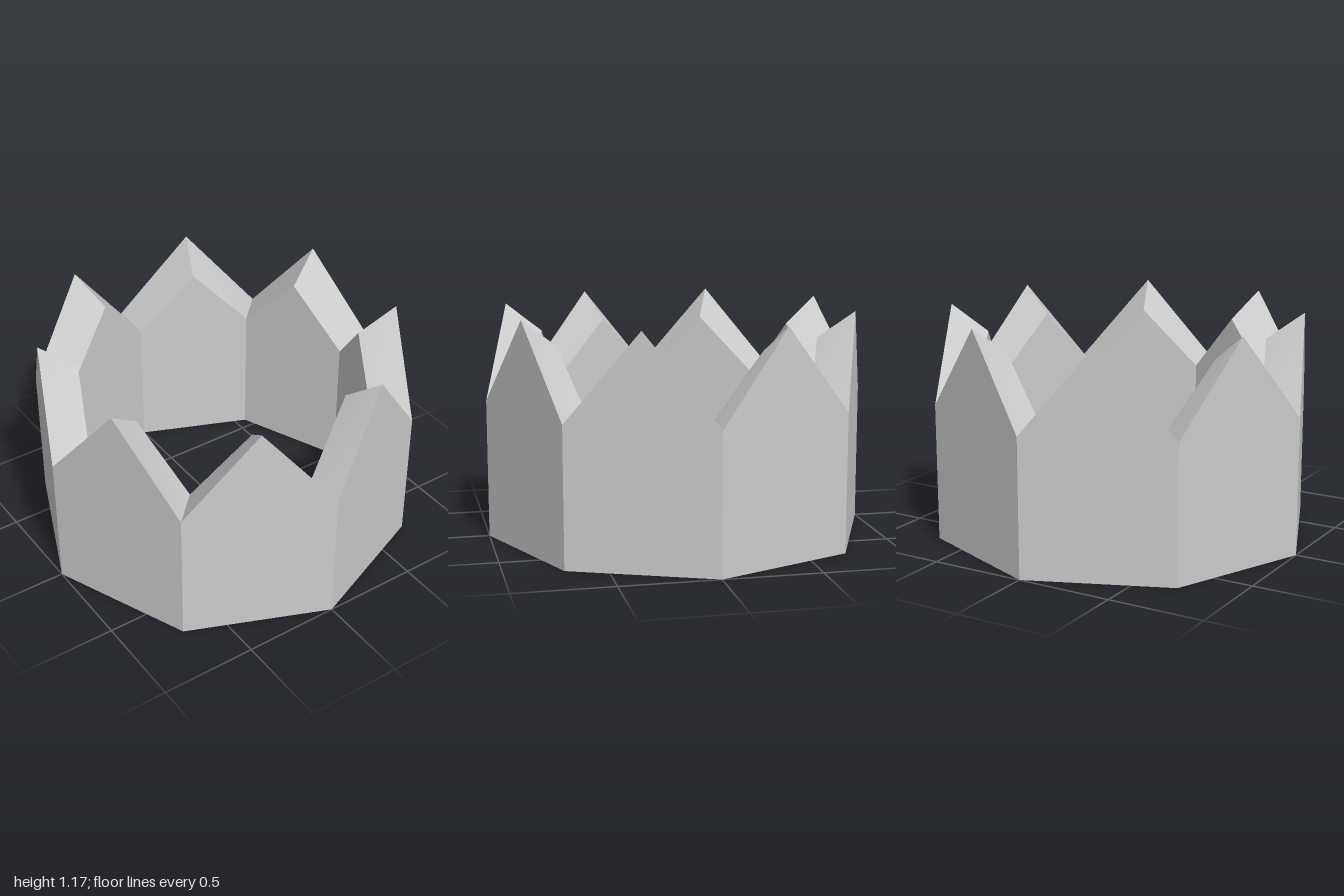
import * as THREE from 'three';

const SIDES = 8;
const OUTER_R = 1, INNER_R = 0.79;
const VALLEY_Y = 0.715, OUTER_PEAK_Y = 1.17, INNER_PEAK_Y = 1.03;

// Flat-sided faces: each polygon gets its own corners, fanned into triangles
function facesGeometry(faces) {
  const positions = [], index = [];
  for (const face of faces) {
    const start = positions.length / 3;
    for (const p of face) positions.push(p.x, p.y, p.z);
    for (let i = 1; i < face.length - 1; i++) index.push(start, start + i, start + i + 1);
  }
  const geometry = new THREE.BufferGeometry();
  geometry.setAttribute('position', new THREE.Float32BufferAttribute(positions, 3));
  geometry.setIndex(index);
  geometry.computeVertexNormals();
  return geometry;
}

// One wall of the ring, rising to a point halfway along
function pointedWall() {
  const step = (Math.PI * 2) / SIDES;
  const at = (r, a, y) => new THREE.Vector3(r * Math.cos(a), y, r * Math.sin(a));
  const profile = (r, peakY) => ({
    base0: at(r, 0, 0),
    base1: at(r, step, 0),
    valley0: at(r, 0, VALLEY_Y),
    valley1: at(r, step, VALLEY_Y),
    peak: at(r * Math.cos(step / 2), step / 2, peakY),
  });
  const o = profile(OUTER_R, OUTER_PEAK_Y);
  const i = profile(INNER_R, INNER_PEAK_Y);
  return facesGeometry([
    [o.peak, o.valley1, o.base1, o.base0, o.valley0], // outside
    [i.peak, i.valley0, i.base0, i.base1, i.valley1], // inside
    [o.valley0, i.valley0, i.peak, o.peak],           // rising slope
    [o.peak, i.peak, i.valley1, o.valley1],           // falling slope
    [o.base0, o.base1, i.base1, i.base0],             // underside
  ]);
}

export function createModel() {
  const crown = new THREE.Group();
  crown.name = 'crown';
  const material = new THREE.MeshStandardMaterial({ color: 0xcccccc });
  const geometry = pointedWall();

  // Eight identical pointed walls around the ring
  for (let k = 0; k < SIDES; k++) {
    const wall = new THREE.Mesh(geometry, material);
    wall.name = `crownPoint${k + 1}`;
    wall.rotation.y = (k * Math.PI * 2) / SIDES;
    crown.add(wall);
  }
  return crown;
}
